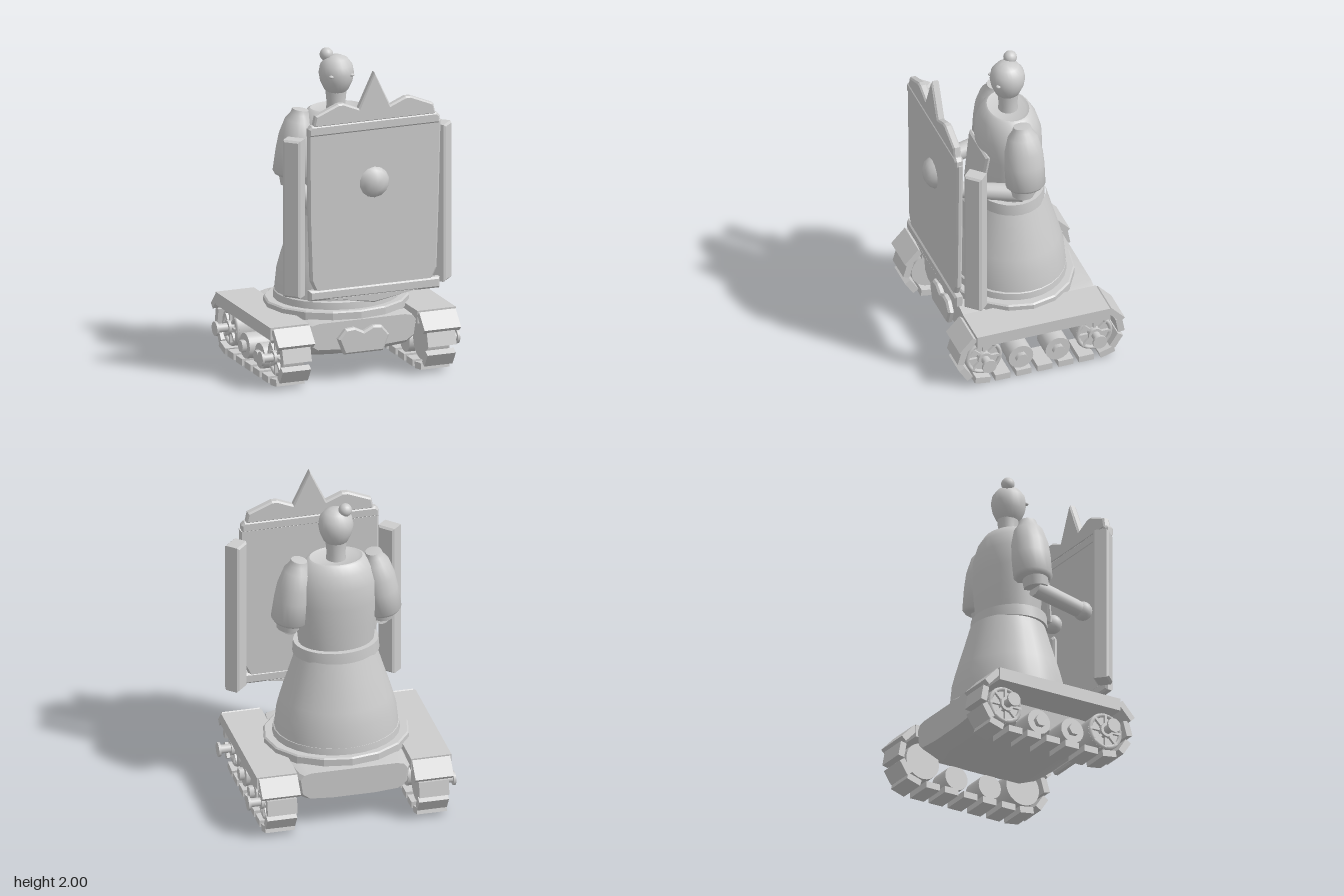
import * as THREE from 'three';
import { toCreasedNormals } from 'three/addons/utils/BufferGeometryUtils.js';

export function createModel() {
  const model = new THREE.Group();
  const grey = new THREE.MeshStandardMaterial({ color: 0xcccccc });
  grey.name = 'plain grey';

  const add = (name, geo, x = 0, y = 0, z = 0, parent = model) => {
    const m = new THREE.Mesh(geo, grey);
    m.name = name;
    m.position.set(x, y, z);
    parent.add(m);
    return m;
  };
  const box = (w, h, d) => new THREE.BoxGeometry(w, h, d);
  const lathe = (pts, sides = 28, crease = 0.6) => toCreasedNormals(
    new THREE.LatheGeometry(pts.map(p => new THREE.Vector2(p[0], p[1])), sides), crease);
  // Bevelled plate from an outline in x, y
  const plate = (pts, depth, bevel = 0.012) => {
    const shape = new THREE.Shape(pts.map(p => new THREE.Vector2(p[0], p[1])));
    const g = new THREE.ExtrudeGeometry(shape, {
      depth: depth - 2 * bevel, bevelEnabled: true, bevelSize: bevel,
      bevelOffset: -bevel, bevelThickness: bevel, bevelSegments: 1,
    });
    return g.translate(0, 0, bevel);
  };
  // Cylinder lying along x
  const axle = (r, len, sides = 24) => new THREE.CylinderGeometry(r, r, len, sides).rotateZ(-Math.PI / 2);
  const limb = (name, a, b, r) => {
    const A = new THREE.Vector3(...a), B = new THREE.Vector3(...b);
    const m = add(name, new THREE.CylinderGeometry(r * 0.9, r, A.distanceTo(B), 16));
    m.position.copy(A).lerp(B, 0.5);
    m.quaternion.setFromUnitVectors(new THREE.Vector3(0, 1, 0), B.sub(A).normalize());
  };

  // Hull lofted front to back from one cross-section
  const half = [[0.15, 0.14], [0.31, 0.155], [0.36, 0.2], [0.375, 0.33], [0.35, 0.37], [0.3, 0.385]];
  const section = [...half, ...half.map(p => [-p[0], p[1]]).reverse()];
  const stations = [[-0.44, 0.9, 0.75], [-0.4, 0.96, 0.8], [-0.27, 1, 1], [0.27, 1, 1], [0.38, 0.98, 0.82], [0.415, 0.95, 0.72]];
  const verts = [], faces = [], n = section.length;
  stations.forEach(([z, w, k]) => section.forEach(([x, y]) => verts.push(x * w, 0.385 - (0.385 - y) * k, z)));
  for (let s = 0; s < stations.length - 1; s++) {
    for (let i = 0; i < n; i++) {
      const a = s * n + i, b = s * n + (i + 1) % n;
      faces.push(a, b, b + n, a, b + n, a + n);
    }
  }
  const last = (stations.length - 1) * n;
  for (let i = 1; i < n - 1; i++) {
    faces.push(0, i + 1, i, last, last + i, last + i + 1);
  }
  const hull = new THREE.BufferGeometry();
  hull.setAttribute('position', new THREE.Float32BufferAttribute(verts, 3));
  hull.setIndex(faces);
  add('hull', toCreasedNormals(hull, 0.45));
  add('hullCrest', plate([[-0.17, 0.28], [-0.12, 0.34], [-0.06, 0.345], [0, 0.315], [0.06, 0.345],
    [0.12, 0.34], [0.17, 0.28], [0.13, 0.18], [-0.13, 0.18]], 0.05), 0, 0, 0.4);

  // Track units, one each side
  const links = [[0.375, 0.035, 0.15], [0.245, 0.03, 0], [0.108, 0.03, 0], [-0.03, 0.03, 0], [-0.167, 0.03, 0],
    [-0.3, 0.03, 0], [-0.435, 0.042, -0.3], [-0.495, 0.115, -1], [-0.52, 0.225, -1.75],
    [0.485, 0.108, 1], [0.507, 0.235, 1.85]];
  for (const s of [1, -1]) {
    const t = new THREE.Group();
    t.name = s > 0 ? 'leftTrack' : 'rightTrack';
    model.add(t);
    add('fender', box(0.255, 0.08, 0.868), s * 0.488, 0.36, -0.006, t);
    for (const e of [1, -1]) {
      const guard = add('mudguard', box(0.242, 0.04, 0.13), s * 0.484, 0.335, e * 0.48, t);
      guard.rotation.x = e * 0.82;
      // Spoked end wheels with projecting axles
      const wheel = new THREE.Group();
      wheel.name = 'driveWheel';
      wheel.position.set(s * 0.485, 0.19, e * 0.36);
      t.add(wheel);
      add('wheelBody', axle(0.118, 0.13), -s * 0.01, 0, 0, wheel);
      add('rim', new THREE.TorusGeometry(0.106, 0.014, 6, 28).rotateY(Math.PI / 2), s * 0.06, 0, 0, wheel);
      add('hub', axle(0.045, 0.04), s * 0.07, 0, 0, wheel);
      add('axle', axle(0.027, 0.2), s * 0.07, 0, 0, wheel);
      add('axleCap', axle(0.045, 0.015), s * 0.163, 0, 0, wheel);
      for (let i = 0; i < 8; i++) {
        const spoke = add('spoke', box(0.025, 0.11, 0.016).translate(0, 0.055, 0), s * 0.06, 0, 0, wheel);
        spoke.rotation.x = i * Math.PI / 4;
      }
      // Road wheels
      add('roadWheel', axle(0.08, 0.15), s * 0.48, 0.135, e * 0.12, t);
      add('wheelNut', axle(0.04, 0.04, 6), s * 0.565, 0.135, e * 0.12, t);
    }
    links.forEach(([z, y, a]) => {
      add('trackLink', box(0.188, 0.042, 0.098), s * 0.48, y, z, t).rotation.x = -a;
    });
  }

  // Turntable and long robe, oval in plan
  const oval = (name, pts, k, z = 0, sides = 28, crease = 0.6) => {
    add(name, lathe(pts, sides, crease), 0, 0, z).scale.z = k;
  };
  oval('turntable', [[0, 0.38], [0.455, 0.38], [0.455, 0.428], [0.445, 0.437], [0, 0.437]], 0.88, 0, 16, 0.2);
  oval('robeHem', [[0.395, 0.43], [0.39, 0.48], [0.375, 0.49], [0, 0.492]], 0.9);
  oval('robeSkirt', [[0.385, 0.47], [0.37, 0.61], [0.345, 0.7], [0.29, 0.87], [0.25, 1.0]], 0.9, -0.005);
  oval('belt', [[0, 0.99], [0.27, 0.99], [0.265, 1.065], [0, 1.065]], 0.83, 0.005);
  oval('torso', [[0.235, 1.06], [0.25, 1.2], [0.262, 1.35], [0.26, 1.48], [0.225, 1.57], [0.18, 1.625],
    [0.165, 1.632], [0.14, 1.622], [0, 1.615]], 0.76, 0);
  // Front flap and apron plate
  const bib = add('chestFlap', plate([[-0.16, 0.33], [0.16, 0.33], [0.13, 0], [-0.13, 0]], 0.03), 0, 1.06, 0.215);
  bib.rotation.x = -0.14;
  add('apronPlate', plate([[-0.12, 0.62], [0.12, 0.62], [0.12, 0.96], [0.1, 0.985], [-0.1, 0.985], [-0.12, 0.96]], 0.034),
    0, 0, 0.252);

  // Neck, head, hair knot and eyes
  add('neck', lathe([[0.063, 1.6], [0.058, 1.66], [0.066, 1.74]], 20));
  add('head', lathe([[0, 1.7], [0.04, 1.712], [0.075, 1.745], [0.1, 1.8], [0.109, 1.85], [0.1, 1.9],
    [0.07, 1.94], [0.035, 1.957], [0, 1.96]], 24, 1.2), 0, 0, 0.004);
  add('hairKnot', new THREE.SphereGeometry(0.042, 16, 12), -0.05, 1.96, -0.032);
  for (const s of [1, -1]) {
    add('eye', new THREE.SphereGeometry(0.016, 10, 8), s * 0.068, 1.847, 0.088).scale.y = 0.6;
  }

  // Sleeves, forearms and hands
  const hands = { '1': [0.13, 1.19, 0.4], '-1': [-0.278, 1.11, 0.365] };
  for (const s of [1, -1]) {
    const sleeve = add('sleeve', lathe([[0, -0.21], [0.095, -0.21], [0.112, -0.19], [0.113, -0.05], [0.108, 0.04],
      [0.085, 0.14], [0.058, 0.18], [0.05, 0.21], [0, 0.215]], 20, 0.9), s * 0.268, 1.43, -0.005);
    sleeve.rotation.z = s * 0.16;
    sleeve.scale.z = 1.1;
    add('cuff', new THREE.CylinderGeometry(0.085, 0.075, 0.08, 16), s * 0.295, 1.215, 0.015).rotation.x = -0.12;
    const hand = hands[s];
    limb('forearm', [s * 0.295, 1.175, 0.01], hand, 0.056);
    add('hand', new THREE.SphereGeometry(0.06, 14, 10), ...hand);
  }

  // Shield: panel, bars, pointed crown and boss, set slightly to the left
  add('shieldPanel', plate([[-0.395, 1.63], [0.485, 1.63], [0.472, 1.1], [0.458, 0.69], [0.42, 0.61],
    [-0.34, 0.61], [-0.378, 0.69], [-0.392, 1.1]], 0.042), 0, 0, 0.468);
  add('shieldTopBar', plate([[-0.395, 1.61], [0.475, 1.61], [0.475, 1.66], [0.455, 1.68], [-0.375, 1.68], [-0.395, 1.66]], 0.054),
    0, 0, 0.465);
  add('shieldBottomBar', plate([[-0.39, 0.565], [0.475, 0.56], [0.475, 0.63], [-0.39, 0.63]], 0.054), 0, 0, 0.465);
  add('shieldLowerPoint', plate([[-0.26, 0.57], [0.04, 0.515], [0.34, 0.57]], 0.05, 0.008), 0, 0, 0.467);
  const crownHalf = [[0.405, 1.67], [0.39, 1.74], [0.24, 1.802], [0.205, 1.802], [0.105, 1.76]];
  const crown = [...crownHalf, [0, 1.98], ...crownHalf.map(p => [-p[0], p[1]]).reverse()];
  add('shieldCrown', plate(crown, 0.05, 0.01), 0.042, 0, 0.467);
  add('shieldBoss', lathe([[0, 0.055], [0.045, 0.05], [0.08, 0.03], [0.098, 0], [0.09, -0.01]].reverse(), 14)
    .rotateX(Math.PI / 2), 0.042, 1.28, 0.51);

  // Angled side wings of the shield
  for (const s of [1, -1]) {
    const wing = add('shieldWing', plate([[-0.057, -0.5], [0.057, -0.5], [0.057, 0.5], [-0.057, 0.5]], 0.1)
      .translate(0, 0, -0.05), 0.04 + s * 0.487, 1.08, 0.405);
    wing.rotation.y = s * 0.8;
  }
  return model;
}
